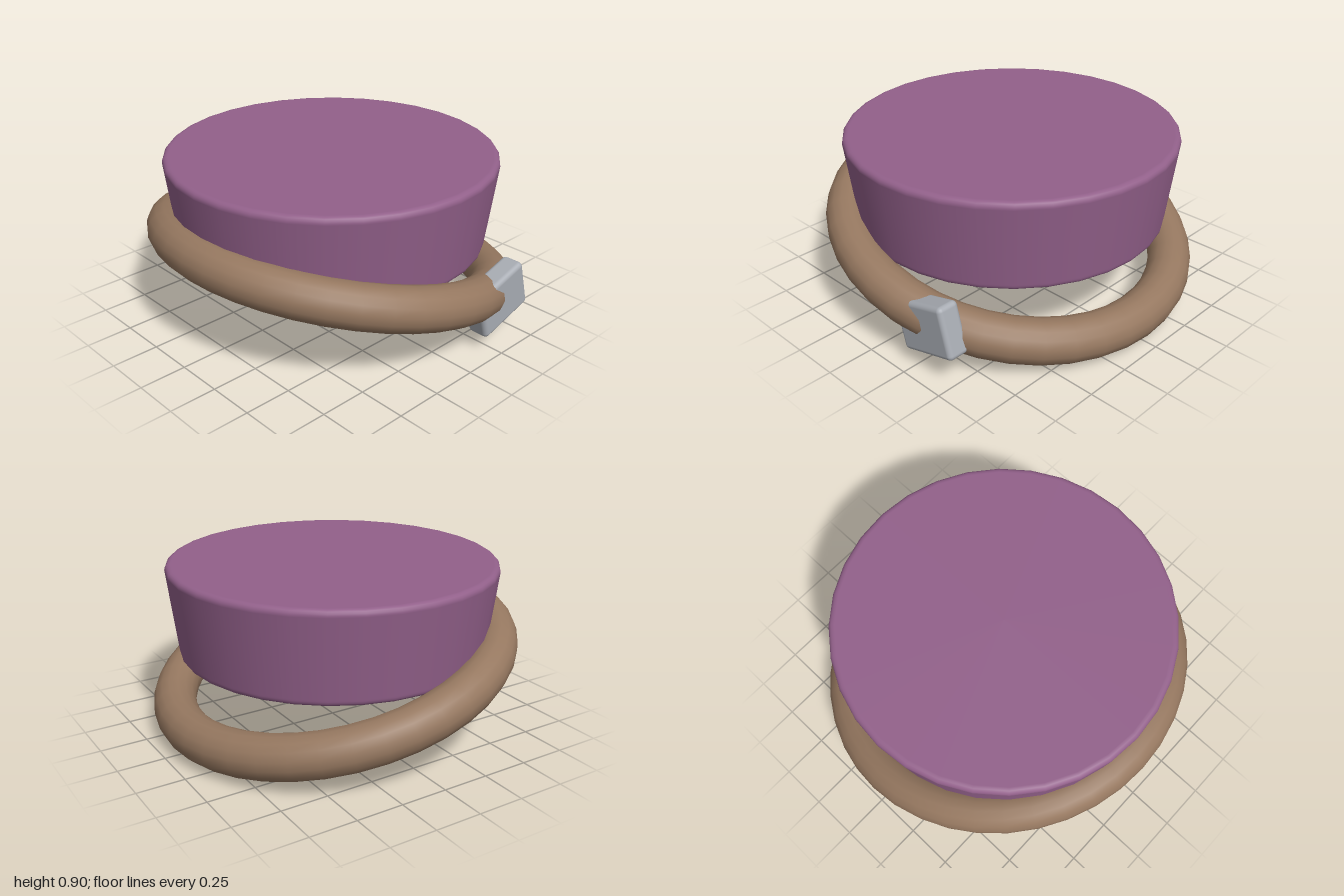
import * as THREE from 'three';
import { RoundedBoxGeometry } from 'three/addons/geometries/RoundedBoxGeometry.js';

const mat = (name, color) => {
  const m = new THREE.MeshStandardMaterial({ color });
  m.name = name;
  return m;
};

export function createModel() {
  const group = new THREE.Group();
  const add = (name, geometry, material) => {
    const mesh = new THREE.Mesh(geometry, material);
    mesh.name = name;
    group.add(mesh);
    return mesh;
  };
  const purple = mat('purple felt', 0x92608a);
  const brown = mat('brown band', 0x967860);
  const grey = mat('grey metal', 0xa8acb3);

  // Crown: tapered drum with softly rounded rims
  const bottom = 0.415, top = 0.905, rBottom = 0.82, rTop = 0.873, bevel = 0.028;
  const profile = [new THREE.Vector2(0, bottom), new THREE.Vector2(rBottom - bevel - 0.006, bottom)];
  const rim = (r, y, from) => {
    for (let i = 0; i <= 4; i++) {
      const a = from + (i / 4) * Math.PI / 2;
      profile.push(new THREE.Vector2(r - bevel + Math.cos(a) * bevel, y + Math.sin(a) * bevel));
    }
  };
  rim(rBottom, bottom + bevel, -Math.PI / 2);
  profile.push(new THREE.Vector2(rBottom + 0.001, bottom + bevel + 0.008));
  profile.push(new THREE.Vector2(rTop - 0.001, top - bevel - 0.008));
  rim(rTop, top - bevel, 0);
  profile.push(new THREE.Vector2(rTop - bevel - 0.006, top), new THREE.Vector2(0, top));
  add('crown', new THREE.LatheGeometry(profile, 32), purple);

  // Band: thick ring tilted down towards +x
  const ring = new THREE.TorusGeometry(0.885, 0.115, 16, 40);
  ring.rotateX(Math.PI / 2);
  const band = add('band', ring, brown);
  band.rotation.z = -0.25;
  band.position.y = 0.334;

  // Buckle: rounded plate sunk into the front of the band
  const buckle = add('buckle', new RoundedBoxGeometry(0.345, 0.27, 0.12, 3, 0.025), grey);
  buckle.rotation.z = 0.28;
  buckle.position.set(0.325, 0.253, 0.88);

  return group;
}
